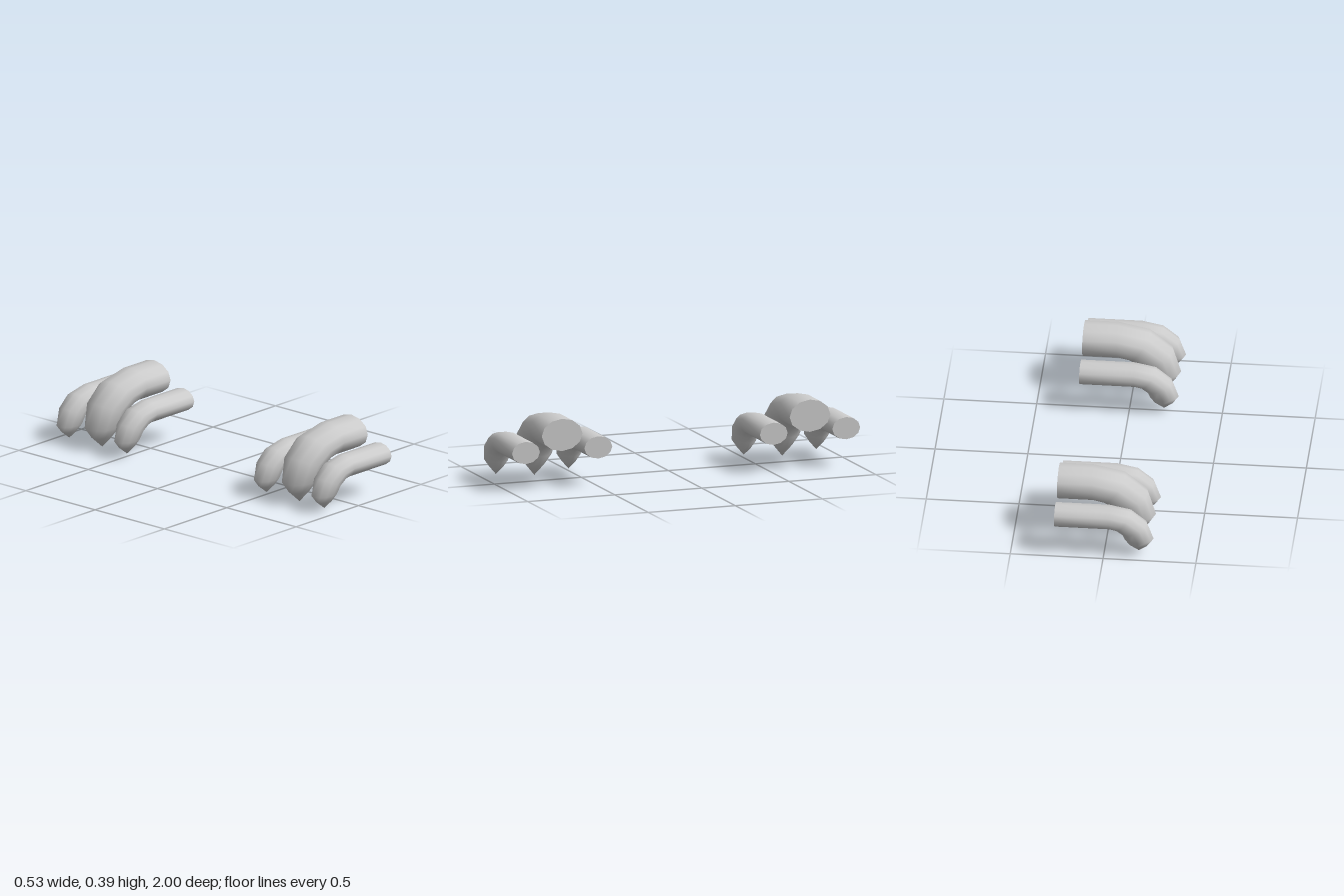
import * as THREE from 'three';

const SIDES = 12;

// Each section: [upper x, upper y, lower x, lower y, half width in z]
const outerSections = [
  [0.265, 0.277, 0.265, 0.155, 0.08],
  [-0.025, 0.277, -0.03, 0.155, 0.08],
  [-0.144, 0.253, -0.063, 0.147, 0.079],
  [-0.23, 0.185, -0.092, 0.124, 0.074],
  [-0.265, 0.093, -0.103, 0.096, 0.062],
  [-0.238, 0.055, -0.131, 0.055, 0.034],
];
const middleSections = [
  [0.265, 0.388, 0.265, 0.211, 0.117],
  [0.083, 0.388, 0.075, 0.211, 0.117],
  [-0.093, 0.351, 0.022, 0.198, 0.116],
  [-0.216, 0.253, -0.033, 0.161, 0.108],
  [-0.258, 0.118, -0.047, 0.12, 0.09],
  [-0.222, 0.062, -0.083, 0.062, 0.049],
];

// One elliptical ring of points spanning the upper and lower point of a section
function ring([ux, uy, lx, ly, w]) {
  const points = [];
  for (let j = 0; j < SIDES; j++) {
    const a = (j / SIDES) * Math.PI * 2;
    const c = Math.cos(a) / 2;
    points.push((ux + lx) / 2 + (ux - lx) * c, (uy + ly) / 2 + (uy - ly) * c, w * Math.sin(a));
  }
  return points;
}

function makeGeometry(positions, index) {
  const g = new THREE.BufferGeometry();
  g.setAttribute('position', new THREE.Float32BufferAttribute(positions, 3));
  g.setIndex(index);
  g.computeVertexNormals();
  return g;
}

// Smooth skin lofted through the sections and closed at a pointed tip
function toeSkin(sections, tip) {
  const positions = [...sections.flatMap(ring), ...tip, 0];
  const tipIndex = sections.length * SIDES;
  const index = [];
  for (let i = 0; i < sections.length; i++) {
    for (let j = 0; j < SIDES; j++) {
      const k = (j + 1) % SIDES;
      const a = i * SIDES + j, b = i * SIDES + k;
      if (i === sections.length - 1) index.push(a, tipIndex, b);
      else index.push(a, a + SIDES, b, b, a + SIDES, b + SIDES);
    }
  }
  return makeGeometry(positions, index);
}

// Flat end cap with its own vertices, so the rim stays sharp
function toeCap(section) {
  const [ux, uy, lx, ly] = section;
  const index = [];
  for (let j = 0; j < SIDES; j++) index.push(SIDES, j, (j + 1) % SIDES);
  return makeGeometry([...ring(section), (ux + lx) / 2, (uy + ly) / 2, 0], index);
}

export function createModel() {
  const model = new THREE.Group();
  model.name = 'clawedFeet';
  const material = new THREE.MeshStandardMaterial({ color: 0xcccccc });

  const outer = { skin: toeSkin(outerSections, [-0.185, 0.015]), cap: toeCap(outerSections[0]) };
  const middle = { skin: toeSkin(middleSections, [-0.152, 0.001]), cap: toeCap(middleSections[0]) };

  // Two feet, each with a large toe between two smaller ones
  for (const [side, z] of [['front', 0.712], ['back', -0.712]]) {
    const foot = new THREE.Group();
    foot.name = side + 'Foot';
    foot.position.z = z;
    for (const [name, parts, dz] of [['innerToe', outer, -0.208], ['middleToe', middle, 0], ['outerToe', outer, 0.208]]) {
      const toe = new THREE.Group();
      toe.name = name;
      toe.position.z = dz * Math.sign(z);
      for (const part of ['skin', 'cap']) {
        const mesh = new THREE.Mesh(parts[part], material);
        mesh.name = part === 'skin' ? 'toeBody' : 'toeEnd';
        toe.add(mesh);
      }
      foot.add(toe);
    }
    model.add(foot);
  }
  return model;
}
